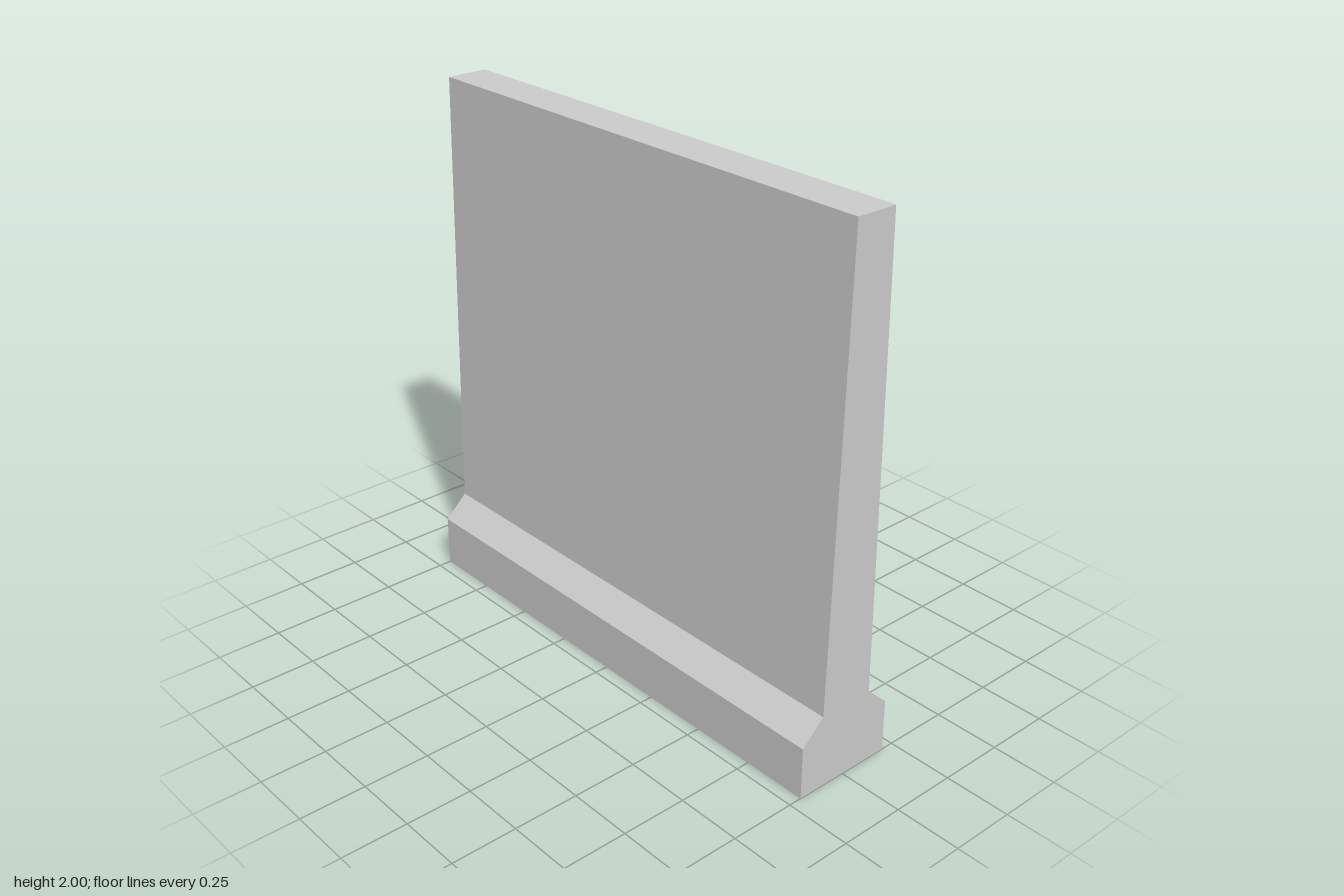
import * as THREE from 'three';

export function createModel() {
  const group = new THREE.Group();
  group.name = 'concreteBarrier';

  const concrete = new THREE.MeshStandardMaterial({ color: 0xcccccc });
  concrete.name = 'concrete grey';

  // Half profile as [depth, height]: footing, sloped shoulder, tapered wall
  const half = [[0.2, 0], [0.2, 0.2], [0.11, 0.285], [0.08, 2]];
  const mirrored = half.map(([d, h]) => [-d, h]).reverse();
  const profile = new THREE.Shape([...half, ...mirrored].map(([d, h]) => new THREE.Vector2(d, h)));

  // Sweep the profile along the length of the barrier
  const length = 2;
  const geometry = new THREE.ExtrudeGeometry(profile, { depth: length, bevelEnabled: false });
  geometry.translate(0, 0, -length / 2);
  geometry.rotateY(Math.PI / 2);

  const wall = new THREE.Mesh(geometry, concrete);
  wall.name = 'barrierWall';
  group.add(wall);
  return group;
}
